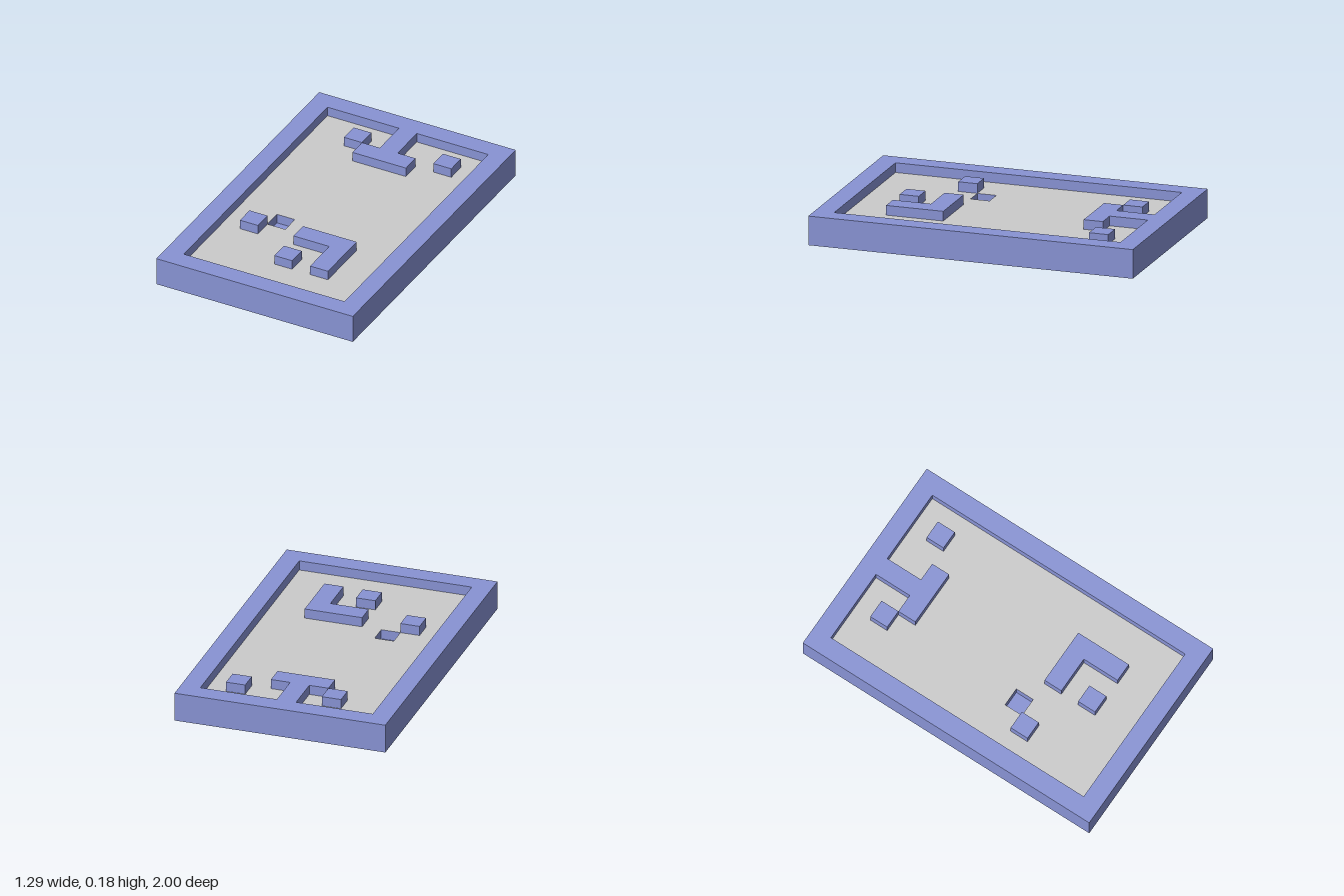
import * as THREE from 'three';

const U = 2 / 17; // one grid cell

const blue = new THREE.MeshStandardMaterial({ color: 0x8893d4 });
const grey = new THREE.MeshStandardMaterial({ color: 0xcccccc });

// Corner lists are [x, z] in cells
const points = (corners) => corners.map(([x, z]) => new THREE.Vector2(x * U, -z * U));
const rect = (x0, z0, x1, z1) => [[x0, z0], [x0, z1], [x1, z1], [x1, z0]];

// Vertical prism over an outline, from height y0 to y1 (cells)
function prism(name, outline, y0, y1, material, holes = []) {
  const shape = new THREE.Shape(points(outline));
  for (const hole of holes) shape.holes.push(new THREE.Path(points(hole)));
  const geometry = new THREE.ExtrudeGeometry(shape, { depth: (y1 - y0) * U, bevelEnabled: false });
  geometry.rotateX(-Math.PI / 2);
  geometry.translate(0, y0 * U, 0);
  const mesh = new THREE.Mesh(geometry, material);
  mesh.name = name;
  return mesh;
}

export function createModel() {
  const model = new THREE.Group();
  model.name = 'walledBoard';
  const outer = rect(-5.5, -8.5, 5.5, 8.5);

  // Base plate, whose top shows as the floor of the pit
  model.add(prism('base', outer, 0, 0.5, blue));

  // Floor with one square pit; grey on top, blue on the pit walls
  const pit = rect(-2.5, 1.5, -1.5, 2.5);
  model.add(prism('floor', rect(-4.5, -7.5, 4.5, 7.5), 0.5, 1, [grey, blue], [pit]));

  // Rim with a T-shaped wall reaching inward from the back
  const inside = [
    [-4.5, -7.5], [-4.5, 7.5], [4.5, 7.5], [4.5, -7.5],
    [0.5, -7.5], [0.5, -5.5], [1.5, -5.5], [1.5, -4.5],
    [-1.5, -4.5], [-1.5, -5.5], [-0.5, -5.5], [-0.5, -7.5],
  ];
  model.add(prism('rim', outer, 0.5, 1.5, blue, [inside]));

  // L-shaped wall
  const corner = [[-0.5, 2.5], [-0.5, 3.5], [1.5, 3.5], [1.5, 5.5], [2.5, 5.5], [2.5, 2.5]];
  model.add(prism('cornerWall', corner, 1, 1.5, blue));

  // Single-cell blocks
  for (const [x, z] of [[-2, -6], [3, -6], [-3, 3], [0, 5]]) {
    model.add(prism('block', rect(x - 0.5, z - 0.5, x + 0.5, z + 0.5), 1, 1.5, blue));
  }
  return model;
}
